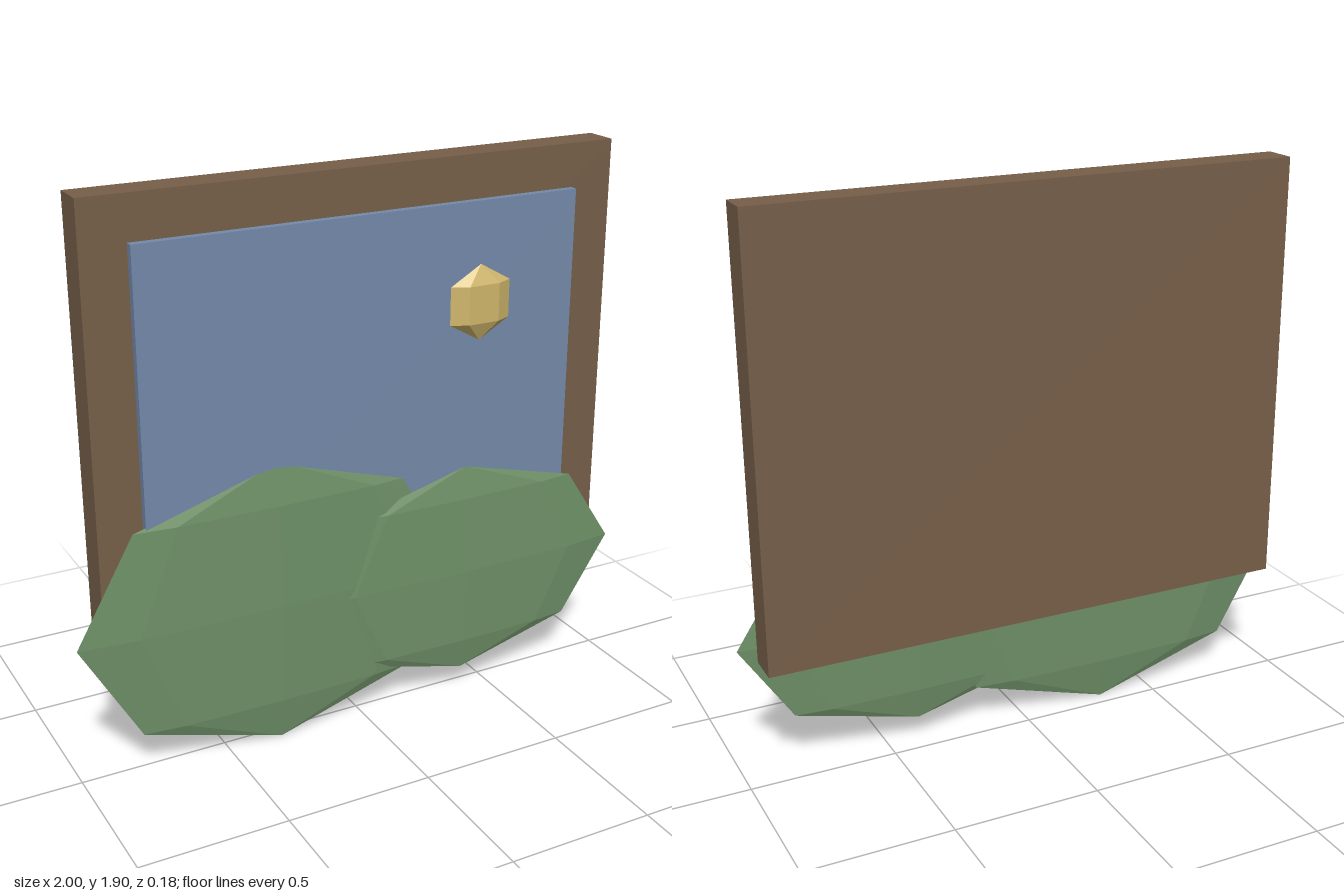
import * as THREE from 'three';

const material = (name, color, flatShading = true) => {
  const m = new THREE.MeshStandardMaterial({ color, flatShading });
  m.name = name;
  return m;
};

export function createModel() {
  const group = new THREE.Group();
  const wood = material('wood brown', 0x775f49);
  const sky = material('sky blue', 0x748aaa);
  const leaf = material('hill green', 0x6f9168);
  const gold = material('sun gold', 0xd0b76c);

  const add = (name, geometry, mat, x, y, z) => {
    const mesh = new THREE.Mesh(geometry, mat);
    mesh.name = name;
    mesh.position.set(x, y, z);
    group.add(mesh);
  };

  // Flattened low-poly ellipsoid
  const blob = (rx, ry, rz, around, rows) =>
    new THREE.SphereGeometry(1, around, rows).scale(rx, ry, rz);

  // Backing frame and the raised sky panel
  add('frame', new THREE.BoxGeometry(1.845, 1.47, 0.115), wood, 0.02, 1.17, -0.0325);
  add('skyPanel', new THREE.BoxGeometry(1.545, 1.18, 0.028), sky, 0.018, 1.17, 0.038);

  // Two overlapping hills
  add('largeHill', blob(0.69, 0.503, 0.03, 8, 4), leaf, -0.31, 0.503, 0.049);
  add('smallHill', blob(0.61, 0.386, 0.027, 8, 4), leaf, 0.39, 0.469, 0.057);

  // Faceted sun
  add('sun', blob(0.129, 0.128, 0.037, 6, 3), gold, 0.426, 1.427, 0.06);

  return group;
}
